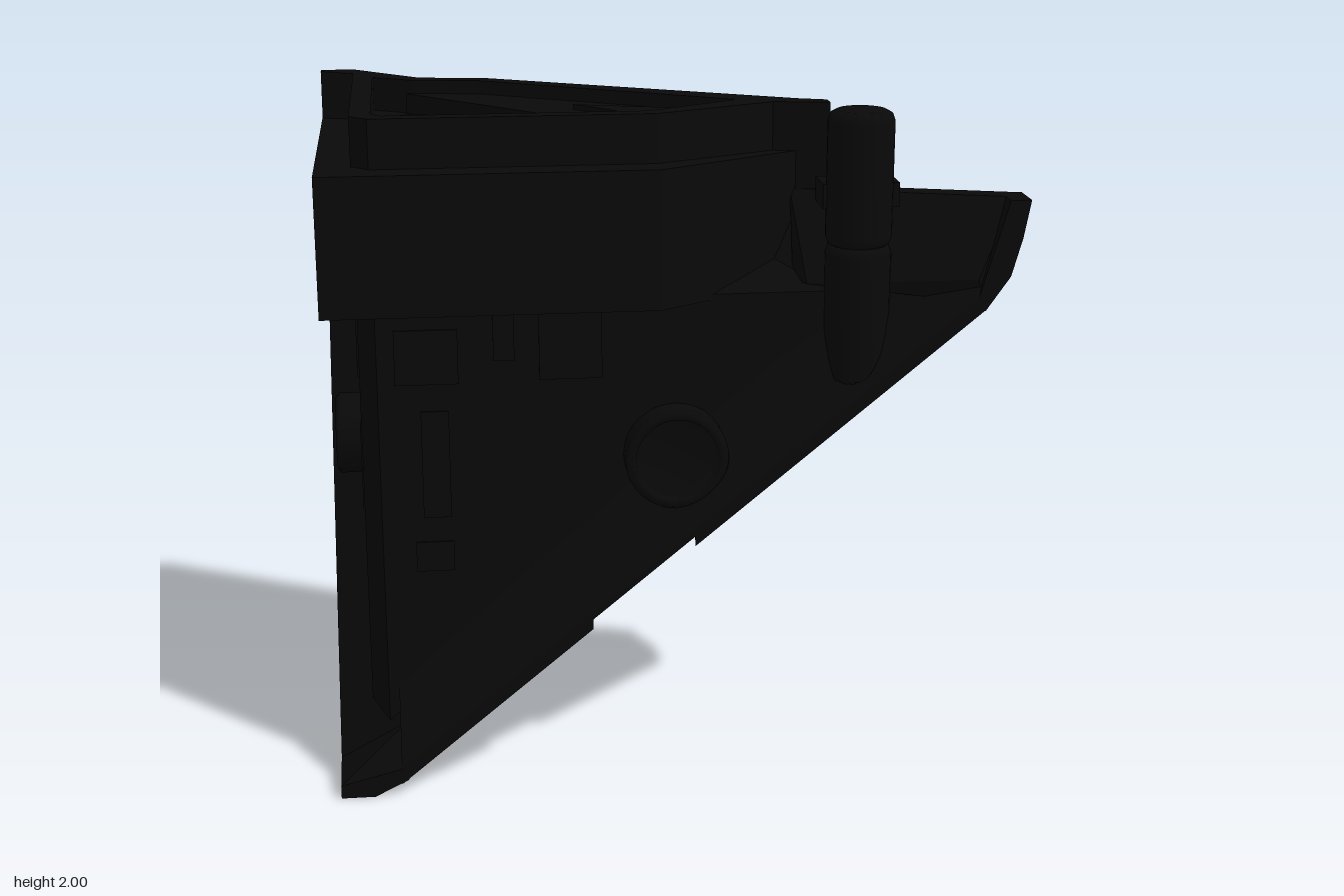
import * as THREE from 'three';
import { ConvexGeometry } from 'three/addons/geometries/ConvexGeometry.js';

// Sloping underside planes: the recessed skin and the raised edge rim
const skinY = (x, z) => 0.84 + 0.9 * x + 1.9 * (0.5 - z);
const rimY = (x, z) => 0.71 + 0.821 * x + 1.9 * (0.5 - z);

export function createModel() {
  const group = new THREE.Group();
  const black = new THREE.MeshStandardMaterial({ color: 0x090909 });
  black.name = 'black';

  function add(name, geometry, x = 0, y = 0, z = 0) {
    const mesh = new THREE.Mesh(geometry, black);
    mesh.name = name;
    mesh.position.set(x, y, z);
    group.add(mesh);
    return mesh;
  }
  const hull = (name, pts) =>
    add(name, new ConvexGeometry(pts.map((p) => new THREE.Vector3(...p))));

  // Raise every vertex that would poke through a sloping plane
  function trim(geometry, plane) {
    const p = geometry.attributes.position;
    for (let i = 0; i < p.count; i++) {
      p.setY(i, Math.max(p.getY(i), plane(p.getX(i), p.getZ(i))));
    }
    geometry.computeVertexNormals();
    return geometry;
  }

  // Vertical prism from an [x, z] outline, trimmed by a sloping plane
  function prism(name, outline, y0, y1, { hole, plane = skinY } = {}) {
    const toPoints = (list) => list.map(([x, z]) => new THREE.Vector2(x, -z));
    const shape = new THREE.Shape(toPoints(outline));
    if (hole) shape.holes.push(new THREE.Path(toPoints(hole)));
    const g = new THREE.ExtrudeGeometry(shape, { depth: y1 - y0, bevelEnabled: false });
    g.rotateX(-Math.PI / 2).translate(0, y0, 0);
    return add(name, trim(g, plane));
  }

  // Sloping underside skin
  const skin = [];
  for (const [x, z] of [[-0.85, 0.39], [0.48, 0.39], [0.38, 0.2], [-0.75, -0.33]]) {
    skin.push([x, skinY(x, z), z], [x, skinY(x, z) + 0.06, z]);
  }
  hull('undersideSkin', skin);

  // Thin raised rim along the side edge: foot, slope and rear peak
  const both = (profile) => [-1, -0.9].flatMap((x) => profile.map(([z, y]) => [x, y, z]));
  hull('foot', [...both([[0.5, 0], [0.4, 0], [0.35, 0.03], [0.36, 0.07], [0.5, 0.04]]),
    [-0.8, 0.05, 0.5], [-0.8, 0.09, 0.5], [-0.8, 0.2, 0.42]]);
  hull('sideRim', [...both([[0.35, 0.03], [-0.45, 1.55], [-0.425, 1.57], [0.37, 0.06]]),
    [-0.8, 0.2, 0.42], [-0.7, skinY(-0.7, 0.36), 0.36], [-0.7, 1.75, -0.31]]);
  hull('rearPeak', [...both([[-0.45, 1.55], [-0.485, 1.68], [-0.5, 1.8], [-0.5, 2],
    [-0.47, 2], [-0.425, 1.57]]), [-0.7, 1.75, -0.31], [-0.7, 2, -0.31], [-0.88, 2, -0.4]]);

  // Raised rim along the front diagonal, with a shallow notch in the middle
  for (const [x0, x1, inset] of [[-0.82, -0.25, 0], [-0.25, 0.05, 0.03], [0.05, 0.88, 0]]) {
    const pts = [];
    for (const x of [x0, x1]) {
      const back = Math.min(skinY(x, 0.36), 1.75);
      pts.push([x, rimY(x, 0.5) + inset, 0.5], [x, rimY(x, 0.42) + inset, 0.42],
        [x, back, 0.36], [x, Math.min(back + 0.05, 1.75), 0.37], [x, rimY(x, 0.5) + 0.05, 0.5]);
    }
    hull('diagonalRim', pts);
  }

  // Wing wall and blunt wing tip
  hull('wingWall', [[0.38, 1.75, 0.2], [0.99, 1.75, 0.39], [0.88, 1.45, 0.48], [0.35, 1.5, 0.34],
    [0.35, 1.75, 0.26], [0.96, 1.75, 0.45], [0.86, 1.52, 0.49], [0.38, 1.5, 0.4]]);
  hull('wingTip', [[0.88, 1.43, 0.5], [0.95, 1.53, 0.5], [0.98, 1.64, 0.5], [1, 1.75, 0.5],
    [0.86, 1.47, 0.5], [0.94, 1.75, 0.5], [1, 1.75, 0.39], [0.94, 1.75, 0.38],
    [0.95, 1.55, 0.42], [0.88, 1.46, 0.44]]);

  // Inner block below and above the band, with an open tray on top
  const blockOutline = [[-0.9, -0.42], [-0.9, 0.36], [-0.85, 0.41], [-0.05, 0.41], [0.3, 0.25],
    [0.46, 0.28], [0.46, 0.23], [0.38, 0.2], [-0.5, -0.28], [-0.7, -0.31]];
  prism('lowerBlock', [[-0.9, -0.38], [-0.9, 0.36], [-0.85, 0.41], [0.6, 0.41], [0.3, 0.25],
    [-0.5, -0.2]], 0, 1.48,
  { plane: (x, z) => (z > 0.355 ? rimY(x, z) + 0.02 : skinY(x, z)) });
  prism('upperBlock', blockOutline, 0, 1.9);
  prism('trayWall', blockOutline, 1.88, 2, {
    hole: [[-0.84, -0.33], [-0.84, 0.33], [-0.81, 0.36], [-0.07, 0.36], [0.2, 0.2],
      [-0.52, -0.23], [-0.72, -0.26]],
  });
  prism('trayPlate', [[-0.74, -0.26], [-0.52, -0.24], [0.21, 0.2], [-0.06, 0.36], [-0.3, 0.2]],
    1.89, 1.96);
  hull('trayFin', [[-0.26, 1.96, 0.08], [0.12, 1.96, 0.2], [-0.05, 1.96, 0.31],
    [-0.26, 1.975, 0.08], [0.12, 1.975, 0.2], [-0.05, 1.975, 0.31]]);
  for (const [x, z, w] of [[-0.72, -0.05, 0.08], [-0.6, 0.05, 0.05], [-0.75, 0.28, 0.05],
    [-0.46, 0.23, 0.07], [-0.54, 0.1, 0.05]]) {
    add('trayDetail', new THREE.BoxGeometry(w, 0.03, w), x, 1.91, z);
  }

  // Thick band wrapping the front and side
  prism('band', [[-1, -0.44], [-1, 0.5], [-0.05, 0.5], [0.37, 0.26], [0.33, 0.23],
    [-0.1, 0.35], [-0.85, 0.35], [-0.85, -0.4]], 1.46, 1.86, { plane: rimY });

  // Upright rounded post in two sections, joined to the block by a bracket
  function post(name, y0, y1) {
    const h = y1 - y0;
    const pts = [[0, 0], [0.07, 0], [0.088, 0.01], [0.095, 0.03], [0.095, h - 0.03],
      [0.088, h - 0.01], [0.07, h], [0, h]].map(([r, y]) => new THREE.Vector2(r, y));
    const g = new THREE.LatheGeometry(pts, 28).translate(0.525, y0, 0.405);
    add(name, trim(g, (x, z) => rimY(x, z) + 0.08));
  }
  post('postUpper', 1.61, 2);
  post('postLower', 1.2, 1.62);
  add('postBracket', new THREE.BoxGeometry(0.22, 0.07, 0.12), 0.53, 1.755, 0.35);

  // Round ports on the front and side faces
  function port(name, r, x, y, z, turn) {
    const pts = [[r, -0.03], [r, 0.06], [r - 0.012, 0.07], [r - 0.03, 0.07],
      [r - 0.035, 0.05], [0, 0.05]].map(([a, b]) => new THREE.Vector2(a, b));
    const g = new THREE.LatheGeometry(pts, 32);
    if (turn) g.rotateZ(Math.PI / 2);
    else g.rotateX(Math.PI / 2);
    add(name, trim(g.translate(x, y, z), rimY));
  }
  port('frontPort', 0.15, 0, 1.01, 0.41, false);
  port('sidePort', 0.12, -0.91, 1, 0.08, true);

  // Raised plates on the front and side faces: centre, width, height
  for (const [x, y, w, h] of [[-0.71, 1.32, 0.18, 0.16], [-0.69, 1, 0.08, 0.32],
    [-0.7, 0.72, 0.11, 0.09], [-0.49, 1.38, 0.06, 0.15], [-0.3, 1.35, 0.18, 0.21]]) {
    add('frontPlate', new THREE.BoxGeometry(w, h, 0.012), x, y, 0.41);
  }
  for (const [z, y, w, h] of [[0.25, 1.32, 0.12, 0.16], [0.24, 0.95, 0.06, 0.26],
    [0.05, 1.35, 0.14, 0.18]]) {
    add('sidePlate', new THREE.BoxGeometry(0.012, h, w), -0.9, y, z);
  }

  // Thin seam strip along the rear wall
  const seam = add('rearSeam', new THREE.BoxGeometry(0.95, 0.02, 0.012), -0.06, 1.83, -0.04);
  seam.rotation.y = -Math.atan2(0.48, 0.88);

  return group;
}
